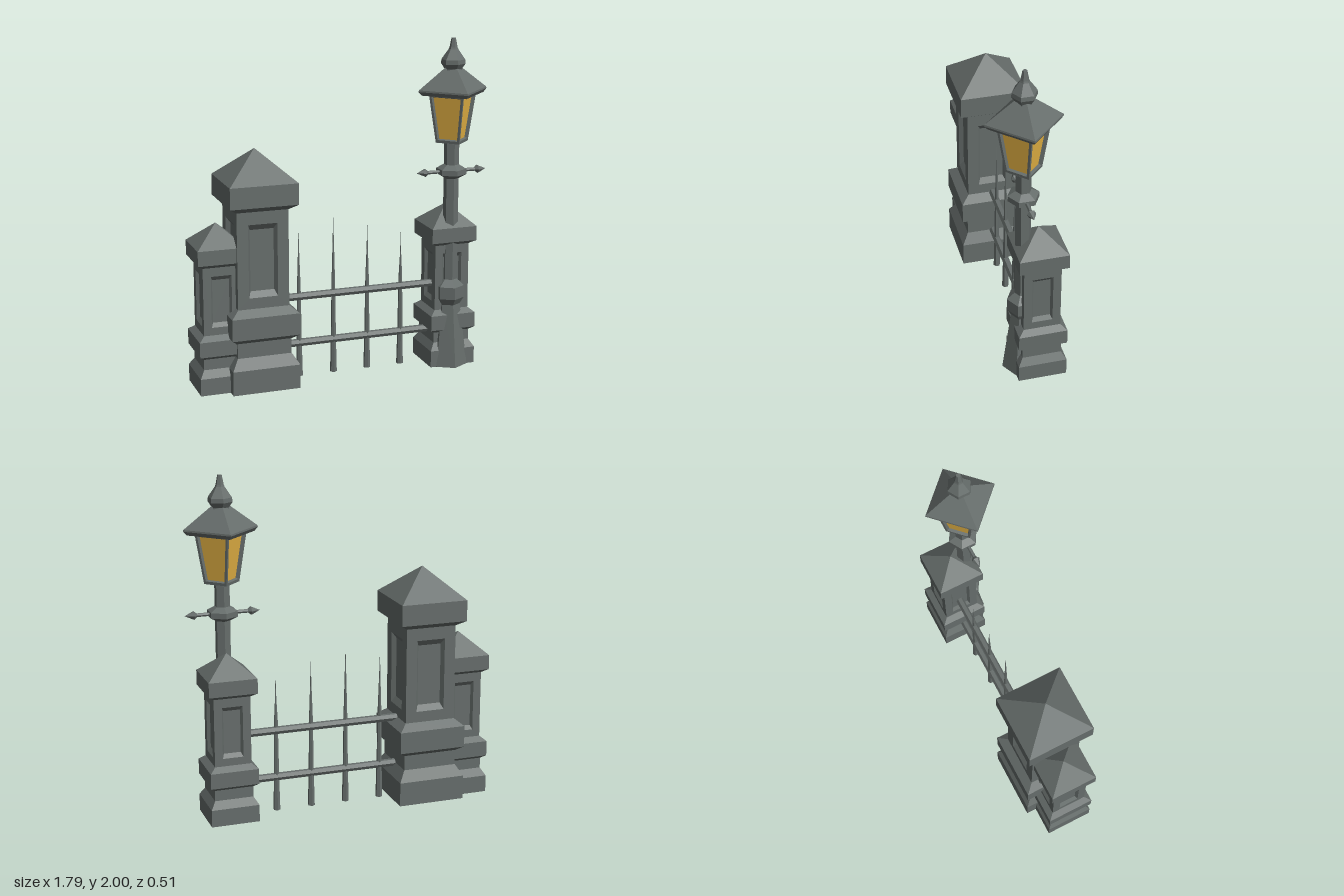
import * as THREE from 'three';

const stone = new THREE.MeshStandardMaterial({ color: 0x666d6b });
stone.name = 'greyStone';
const amber = new THREE.MeshStandardMaterial({ color: 0xe6b445 });
amber.name = 'amberGlass';

function mesh(name, geometry, material = stone) {
  const g = geometry.index ? geometry.toNonIndexed() : geometry;
  g.computeVertexNormals(); // faceted look
  const m = new THREE.Mesh(g, material);
  m.name = name;
  return m;
}

// Solid turned from [radius, height] points with few sides
function turned(name, points, sides, phase = 0) {
  const pts = points.map(([r, y]) => new THREE.Vector2(r, y));
  return mesh(name, new THREE.LatheGeometry(pts, sides, phase));
}

// Square block profile: radii given as half widths, sides facing x and z
const square = (name, points) =>
  turned(name, points.map(([h, y]) => [h * Math.SQRT2, y]), 4, Math.PI / 4);

// Four framed sides of a (tapered) square shaft, each with a recessed panel
function panelledShaft(name, o, panelMaterial) {
  const group = new THREE.Group();
  group.name = name;
  const half = (y) => o.bottom + (o.top - o.bottom) * (y - o.y0) / (o.y1 - o.y0);
  const loop = (inX, inBottom, inTop, depth) => {
    const a = o.y0 + inBottom, b = o.y1 - inTop;
    return [[-1, a], [1, a], [1, b], [-1, b]].map(([s, y]) =>
      [s * (half(y) - inX), y, half(y) - depth]);
  };
  const loops = [
    loop(0, 0, 0, 0),
    loop(o.mx, o.myBottom, o.myTop, 0),
    loop(o.mx + o.bevelX, o.myBottom + o.bevelY, o.myTop + o.bevelY, o.depth),
  ];
  const build = (quads) => {
    const g = new THREE.BufferGeometry();
    const pos = quads.flatMap(([a, b, c, d]) => [a, b, c, a, c, d]).flat();
    g.setAttribute('position', new THREE.Float32BufferAttribute(pos, 3));
    return g;
  };
  const frame = [];
  for (let k = 0; k < 2; k++) {
    for (let i = 0; i < 4; i++) {
      const j = (i + 1) % 4;
      frame.push([loops[k][i], loops[k][j], loops[k + 1][j], loops[k + 1][i]]);
    }
  }
  for (let side = 0; side < 4; side++) {
    const f = mesh('frame', build(frame));
    const p = mesh('panel', build([loops[2]]), panelMaterial);
    f.rotation.y = p.rotation.y = side * Math.PI / 2;
    group.add(f, p);
  }
  return group;
}

function pillar(name, x, scale) {
  const g = new THREE.Group();
  g.name = name;
  g.add(
    square('pillarBase', [[0, 0], [0.203, 0], [0.203, 0.145], [0.163, 0.21], [0.163, 0.3],
      [0.203, 0.33], [0.203, 0.46], [0.154, 0.5]]),
    panelledShaft('pillarShaft', {
      bottom: 0.154, top: 0.154, y0: 0.5, y1: 1.08, mx: 0.067, myBottom: 0.065, myTop: 0.08,
      bevelX: 0.016, bevelY: 0.035, depth: 0.025,
    }, stone),
    square('pillarCap', [[0.154, 1.075], [0.203, 1.108], [0.203, 1.233], [0, 1.412]]),
  );
  g.position.set(x, 0, -0.052);
  g.scale.setScalar(scale);
  return g;
}

function fence() {
  const g = new THREE.Group();
  g.name = 'fence';
  for (const y of [0.207, 0.495]) {
    const rail = mesh('rail', new THREE.CylinderGeometry(0.023, 0.023, 0.98, 6));
    rail.rotation.z = Math.PI / 2;
    rail.position.set(0.1, y, 0);
    g.add(rail);
  }
  for (const [x, h] of [[-0.256, 0.918], [-0.04, 0.972], [0.175, 0.912], [0.39, 0.843]]) {
    const spike = turned('spike',
      [[0, 0], [0.021, 0], [0.016, 0.2], [0.012, 0.5], [0.011, 0.56], [0.004, h - 0.15], [0, h]], 6);
    spike.position.x = x;
    g.add(spike);
  }
  g.position.z = -0.053;
  return g;
}

function streetLamp() {
  const g = new THREE.Group();
  g.name = 'streetLamp';
  // Hexagonal post with flared foot and two collars
  g.add(turned('post', [[0, 0], [0.116, 0], [0.066, 0.385], [0.09, 0.425], [0.09, 0.5],
    [0.045, 0.54], [0.045, 1.165], [0.09, 1.19], [0.09, 1.222], [0.045, 1.248], [0.045, 1.39]], 6));

  // Ladder bar with pointed ends
  const bar = turned('ladderBar', [[0, -0.222], [0.026, -0.168], [0.011, -0.15],
    [0.011, 0.15], [0.026, 0.168], [0, 0.222]], 6);
  bar.rotation.z = Math.PI / 2;
  bar.position.y = 1.206;
  g.add(bar);

  // Tapered lantern set corner-on
  const lantern = panelledShaft('lantern', {
    bottom: 0.073, top: 0.107, y0: 1.385, y1: 1.675, mx: 0.014, myBottom: 0.016, myTop: 0.014,
    bevelX: 0.005, bevelY: 0.005, depth: 0.018,
  }, amber);
  lantern.rotation.y = Math.PI / 4;
  g.add(lantern);
  g.add(turned('lanternFloor', [[0, 1.384], [0.103, 1.384], [0.1, 1.39], [0, 1.39]], 4));
  g.add(turned('roof', [[0, 1.67], [0.197, 1.67], [0.217, 1.692], [0.215, 1.702], [0, 1.866]], 4));
  g.add(turned('finial', [[0.05, 1.79], [0.052, 1.82], [0.072, 1.85], [0.07, 1.875],
    [0.028, 1.935], [0.024, 1.945], [0.013, 2], [0, 2]], 6));
  g.position.set(0.674, 0, 0.035);
  return g;
}

export function createModel() {
  const model = new THREE.Group();
  model.name = 'gateWithLamp';
  model.add(
    pillar('tallPillar', -0.518, 1),
    pillar('outerPillar', -0.756, 0.703),
    pillar('lampPillar', 0.68, 0.703),
    fence(),
    streetLamp(),
  );
  return model;
}
